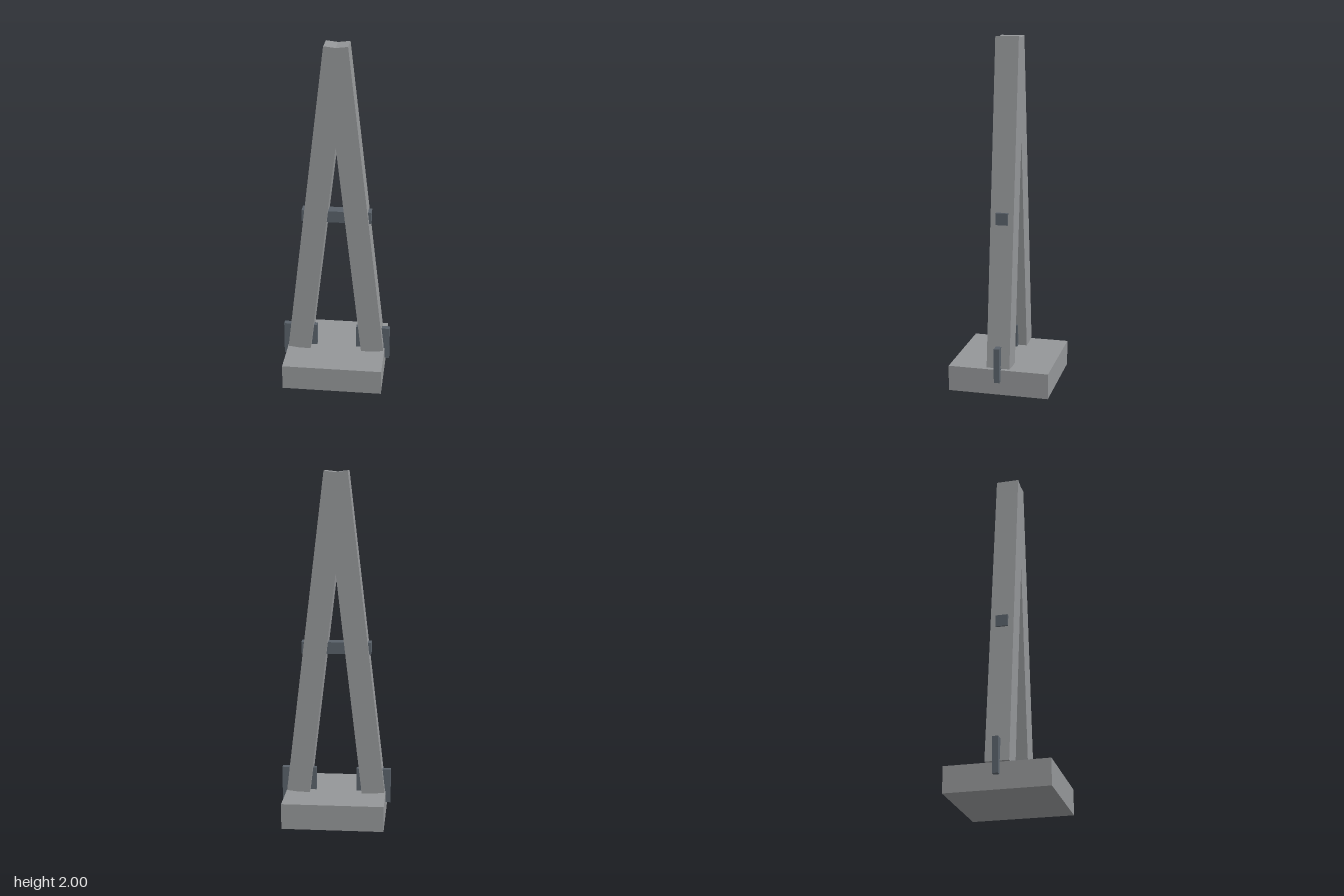
import * as THREE from 'three';

const stone = new THREE.MeshStandardMaterial({ color: 0x949698 });
stone.name = 'light grey';
const steel = new THREE.MeshStandardMaterial({ color: 0x596169 });
steel.name = 'slate grey';

function box(name, size, position, material) {
  const mesh = new THREE.Mesh(new THREE.BoxGeometry(...size), material);
  mesh.name = name;
  mesh.position.set(...position);
  return mesh;
}

export function createModel() {
  const model = new THREE.Group();
  model.name = 'aFrameTower';

  // Square plinth and the tie bar through both legs
  model.add(box('base', [0.58, 0.147, 0.58], [0, 0.0735, 0], stone));
  model.add(box('crossbar', [0.4, 0.068, 0.07], [0, 1, 0], steel));

  // Leaning legs that merge at the top, each with a thin plate through its foot
  for (const [side, s] of [['left', 1], ['right', -1]]) {
    const leg = box(side + 'Leg', [0.133, 1.858, 0.133], [s * 0.11, 1.07, 0], stone);
    leg.rotation.z = s * 0.1176;
    model.add(leg);
    model.add(box(side + 'FootPlate', [0.2, 0.2, 0.032], [s * 0.218, 0.18, 0], steel));
  }
  return model;
}
